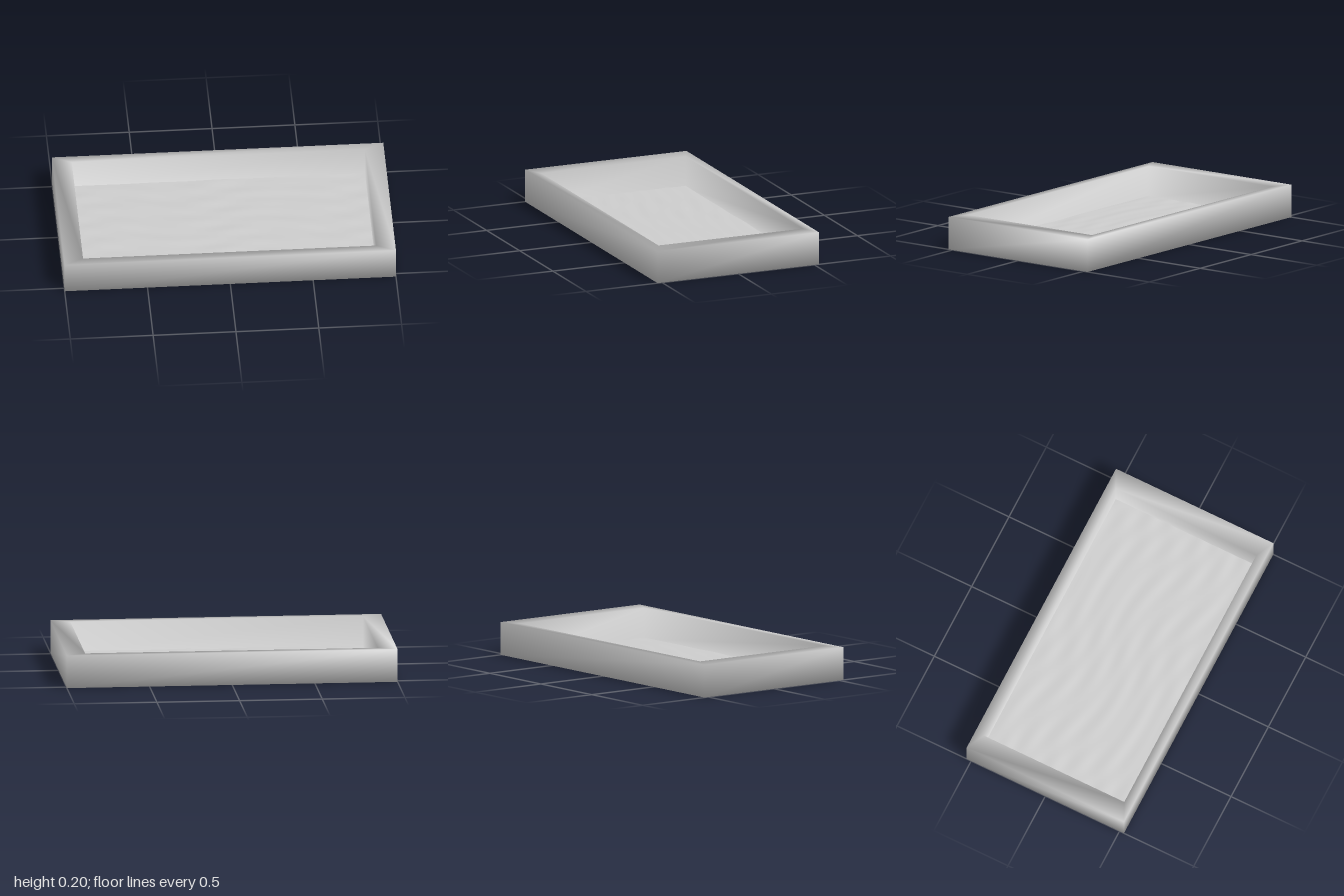
import * as THREE from 'three';

const material = () => new THREE.MeshStandardMaterial({ color: 0xcccccc });

// Closed basin made of rectangular rings [halfX, halfZ, y]; corners are shared for soft shading
function basinGeometry(rings) {
  const positions = [];
  const index = [];
  for (const [x, z, y] of rings) positions.push(-x, y, z, x, y, z, x, y, -z, -x, y, -z);
  for (let r = 0; r < rings.length - 1; r++) {
    for (let k = 0; k < 4; k++) {
      const a = r * 4 + k;
      const b = r * 4 + (k + 1) % 4;
      index.push(a, b, b + 4, a, b + 4, a + 4);
    }
  }
  const f = (rings.length - 1) * 4;
  index.push(0, 2, 1, 0, 3, 2); // underside
  index.push(f, f + 1, f + 2, f, f + 2, f + 3); // inner floor
  const geometry = new THREE.BufferGeometry();
  geometry.setAttribute('position', new THREE.Float32BufferAttribute(positions, 3));
  geometry.setIndex(index);
  geometry.computeVertexNormals();
  return geometry;
}

// Flat sheet with small waves, longer along x than along z
function waterGeometry(width, depth, level) {
  const geometry = new THREE.PlaneGeometry(width, depth, 90, 60);
  geometry.rotateX(-Math.PI / 2);
  const p = geometry.attributes.position;
  for (let i = 0; i < p.count; i++) {
    const x = p.getX(i);
    const z = p.getZ(i);
    const wave = Math.sin(38 * z + 5 * x + 1.5 * Math.sin(7 * x))
      + 0.6 * Math.sin(61 * z - 11 * x + 2 * Math.sin(5 * x + 4 * z))
      + 0.4 * Math.sin(17 * x + 9 * z);
    p.setY(i, level + 0.0012 * wave);
  }
  geometry.computeVertexNormals();
  return geometry;
}

export function createModel() {
  const model = new THREE.Group();
  model.name = 'pool';

  // Outer wall, rim and inner wall
  const basin = new THREE.Mesh(basinGeometry([
    [1, 0.53, 0],
    [1, 0.53, 0.2],
    [0.885, 0.474, 0.2],
    [0.885, 0.474, 0.008],
  ]), material());
  basin.name = 'basin';

  // Rippled surface low inside the basin
  const water = new THREE.Mesh(waterGeometry(1.77, 0.948, 0.018), material());
  water.name = 'waterSurface';

  model.add(basin, water);
  return model;
}
